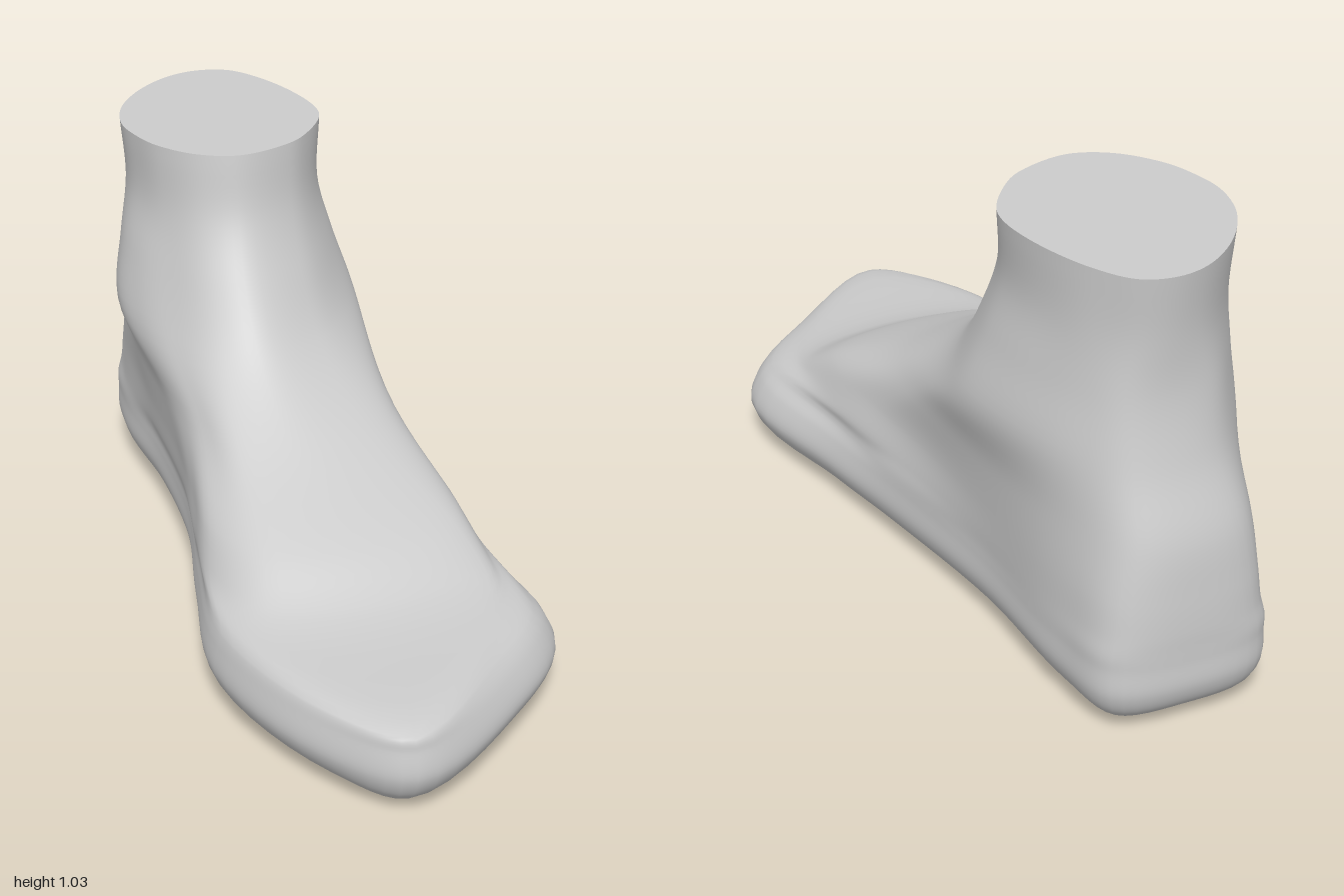
import * as THREE from 'three';

// Widest outline of the foot [x, z]: heel, up the left side (+x), toe tip, back down the right side
const OUTLINE = [
  [-0.03, -1], [0.148, -0.965], [0.192, -0.8], [0.21, -0.45], [0.275, -0.05], [0.325, 0.2], [0.385, 0.58], [0.2, 0.81],
  [-0.11, 1], [-0.27, 0.84], [-0.388, 0.47], [-0.335, 0.15], [-0.268, -0.15], [-0.245, -0.5], [-0.255, -0.8], [-0.213, -0.965],
];

// Sole and toe box: [height, inset of the outline]
const SOLE = [[0, 0.15], [0.012, 0.09], [0.034, 0.047], [0.065, 0.017], [0.11, 0], [0.17, 0.014], [0.205, 0.033]];
const WIDEST = 0.11;

// Instep and ankle sections: height, heel z, front z, how late along the foot it is pulled back, and x around the section
const UPPER = [
  { y: 0.25, back: -1, front: 0.58, bend: 3, x: [-0.02, 0.14, 0.19, 0.212, 0.255, 0.285, 0.295, 0.25, -0.02, -0.27, -0.345, -0.315, -0.272, -0.255, -0.25, -0.2] },
  { y: 0.33, back: -0.995, front: 0.42, bend: 2.5, x: [-0.02, 0.13, 0.188, 0.215, 0.237, 0.255, 0.262, 0.215, -0.04, -0.24, -0.315, -0.3, -0.275, -0.265, -0.248, -0.19] },
  { y: 0.45, back: -0.98, front: 0.16, bend: 1.8, x: [-0.02, 0.11, 0.182, 0.222, 0.238, 0.232, 0.19, 0.11, -0.07, -0.215, -0.265, -0.285, -0.289, -0.283, -0.245, -0.17] },
  { y: 0.6, back: -0.93, front: -0.05, bend: 1.2, x: [-0.01, 0.1, 0.175, 0.235, 0.255, 0.23, 0.145, 0.06, -0.09, -0.2, -0.275, -0.318, -0.335, -0.292, -0.22, -0.13] },
  { y: 0.75, back: -0.9, front: -0.17, bend: 1.15, x: [-0.01, 0.09, 0.155, 0.205, 0.215, 0.192, 0.122, 0.05, -0.09, -0.185, -0.255, -0.298, -0.31, -0.273, -0.2, -0.12] },
  { y: 0.88, back: -0.9, front: -0.24, bend: 1.15, x: [0, 0.075, 0.14, 0.18, 0.187, 0.17, 0.112, 0.05, -0.08, -0.175, -0.243, -0.274, -0.283, -0.255, -0.18, -0.09] },
  { y: 1.03, back: -0.915, front: -0.27, bend: 1.15, x: [0, 0.075, 0.132, 0.18, 0.197, 0.183, 0.117, 0.055, -0.08, -0.175, -0.25, -0.28, -0.29, -0.26, -0.18, -0.08] },
];

const ROWS = 78, COLS = 96;

// Outline moved inwards; above the widest height only the toe box rounds over, most on its left side
function soleSection([y, inset]) {
  const n = OUTLINE.length;
  return OUTLINE.map(([x, z], i) => {
    const [x0, z0] = OUTLINE[(i + n - 1) % n], [x1, z1] = OUTLINE[(i + 1) % n];
    const inward = new THREE.Vector2(z0 - z1, x1 - x0).normalize();
    const rounding = y > WIDEST ? THREE.MathUtils.smoothstep(z, -0.2, 0.6) * (x > 0 ? 1.8 : 0.6) : 1;
    return new THREE.Vector3(x + inward.x * inset * rounding, y, z + inward.y * inset * rounding);
  });
}

// Outline pulled back at the front and forward at the heel
function upperSection({ y, back, front, bend, x }) {
  return OUTLINE.map(([, z], i) => {
    const t = (z + 1) / 2;
    return new THREE.Vector3(x[i], y, z + (back + 1) * (1 - t) - (1 - front) * t ** bend);
  });
}

// Smooth rings: curves run up through the sections, then around each level
function makeRings() {
  const sections = [...SOLE.map(soleSection), ...UPPER.map(upperSection)];
  const ribs = OUTLINE.map((_, i) => new THREE.CatmullRomCurve3(sections.map((s) => s[i])));
  const rings = [];
  for (let r = 0; r <= ROWS; r++) {
    const loop = new THREE.CatmullRomCurve3(ribs.map((rib) => rib.getPoint(r / ROWS)), true);
    rings.push(Array.from({ length: COLS }, (_, c) => loop.getPoint(c / COLS)));
  }
  return rings;
}

function makeGeometry(points, index) {
  const geometry = new THREE.BufferGeometry().setFromPoints(points);
  geometry.setIndex(index);
  geometry.computeVertexNormals();
  return geometry;
}

function ringCentre(ring) {
  return ring.reduce((sum, p) => sum.add(p), new THREE.Vector3()).divideScalar(ring.length);
}

export function createModel() {
  const group = new THREE.Group();
  group.name = 'foot';
  const material = new THREE.MeshStandardMaterial({ color: 0xcccccc });
  const rings = makeRings();

  // Skin with the flat underside closed at its centre
  const points = rings.flat(), index = [];
  const soleCentre = points.push(ringCentre(rings[0])) - 1;
  for (let c = 0; c < COLS; c++) {
    const n = (c + 1) % COLS;
    index.push(soleCentre, c, n);
    for (let r = 0; r < ROWS; r++) {
      const a = r * COLS + c, b = r * COLS + n;
      index.push(a, a + COLS, b, b, a + COLS, b + COLS);
    }
  }
  const skin = new THREE.Mesh(makeGeometry(points, index), material);
  skin.name = 'footSkin';

  // Flat cut above the ankle, with a sharp rim
  const rim = rings[ROWS], capIndex = [];
  for (let c = 0; c < COLS; c++) capIndex.push(COLS, (c + 1) % COLS, c);
  const cap = new THREE.Mesh(makeGeometry([...rim, ringCentre(rim)], capIndex), material);
  cap.name = 'ankleCap';

  group.add(skin, cap);
  return group;
}
